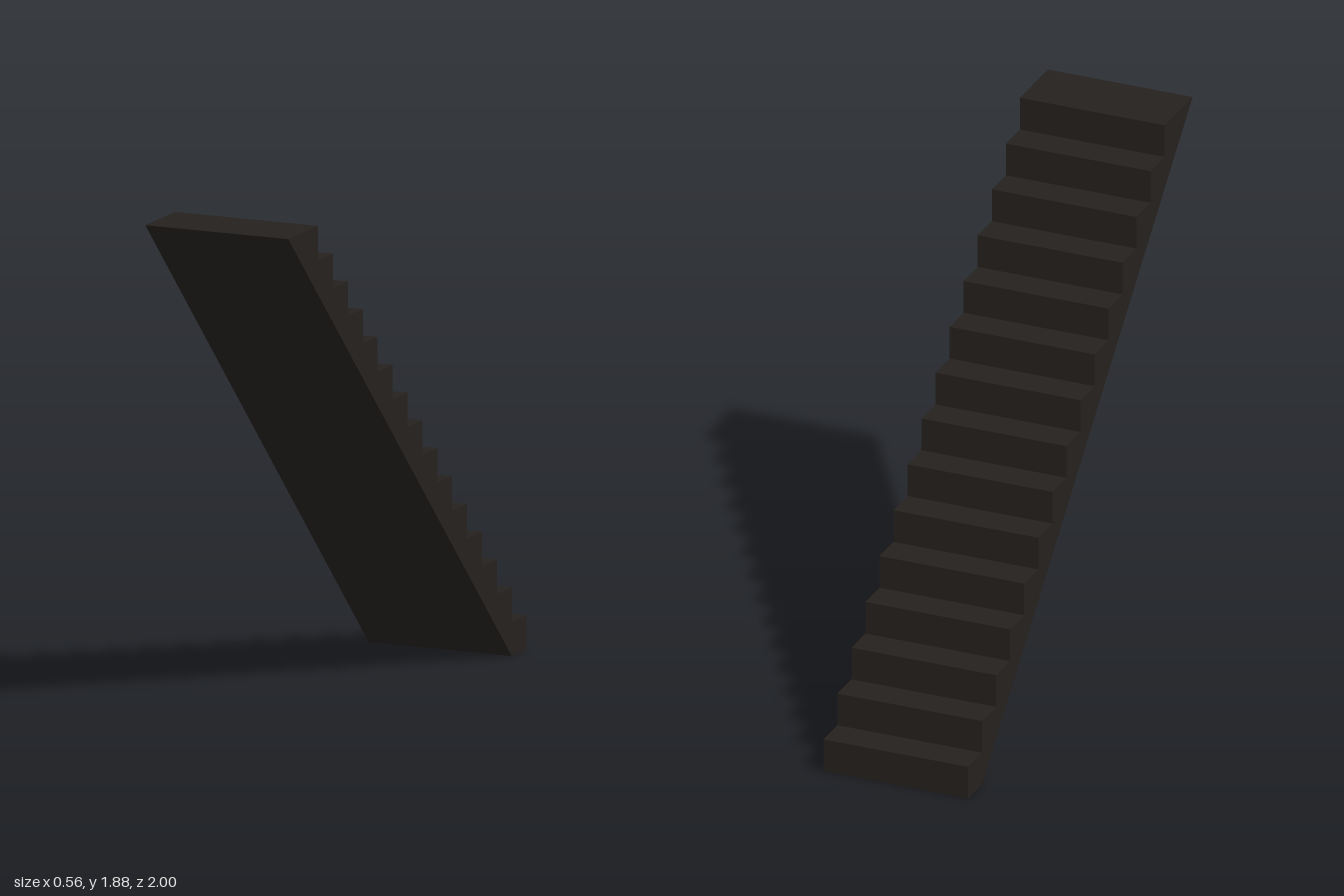
import * as THREE from 'three';

const STEPS = 15;
const STEP = 0.125; // rise and tread depth
const WIDTH = 0.56;

export function createModel() {
  const group = new THREE.Group();
  group.name = 'staircase';

  // Side profile: x runs from the foot (back) to the top (front)
  const profile = new THREE.Shape();
  profile.moveTo(-1 + STEP, 0); // sloping underside starts here
  profile.lineTo(1, STEPS * STEP);
  for (let i = STEPS - 1; i >= 0; i--) {
    const z = -1 + i * STEP;
    profile.lineTo(z, (i + 1) * STEP); // tread
    profile.lineTo(z, i * STEP); // riser
  }
  profile.closePath();

  // Extrude across the width, then turn the profile along z
  const geometry = new THREE.ExtrudeGeometry(profile, { depth: WIDTH, bevelEnabled: false });
  geometry.translate(0, 0, -WIDTH / 2);
  geometry.rotateY(-Math.PI / 2);

  const flight = new THREE.Mesh(
    geometry,
    new THREE.MeshStandardMaterial({ color: 0x25211e })
  );
  flight.name = 'stairFlight';
  group.add(flight);
  return group;
}
